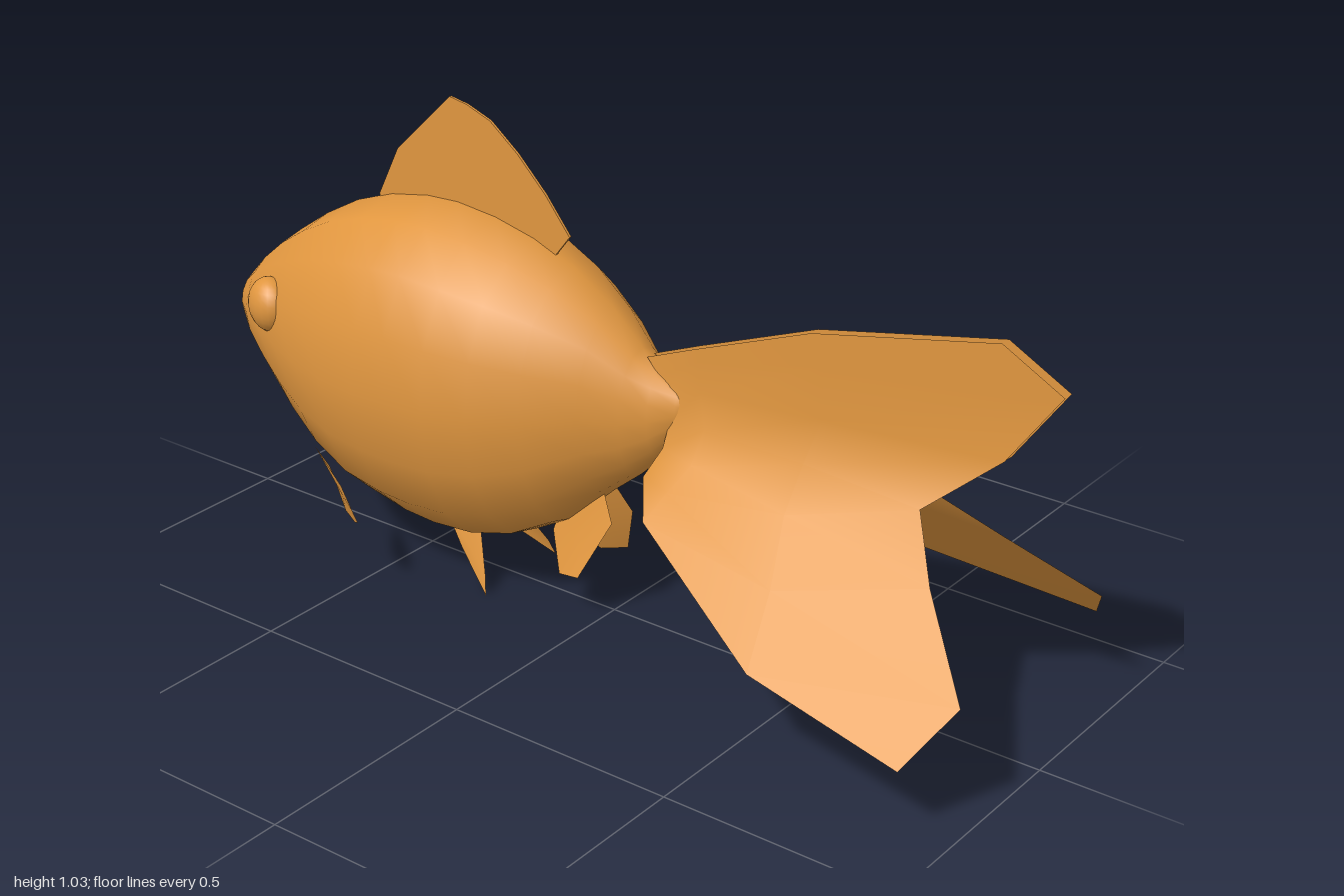
import * as THREE from 'three';

const orange = new THREE.MeshStandardMaterial({ color: 0xe0963f, side: THREE.DoubleSide });
orange.name = 'goldenOrange';

function mesh(name, geometry) {
  const m = new THREE.Mesh(geometry, orange);
  m.name = name;
  return m;
}

// Skin a grid of points: rows of equal length, optionally closed around each row.
function loft(rows, closed = false) {
  const n = rows[0].length, index = [];
  for (let r = 0; r < rows.length - 1; r++) {
    for (let i = 0; i < (closed ? n : n - 1); i++) {
      const a = r * n + i, b = r * n + (i + 1) % n;
      index.push(a, a + n, b, b, a + n, b + n);
    }
  }
  const g = new THREE.BufferGeometry();
  g.setAttribute('position', new THREE.Float32BufferAttribute(rows.flat(2), 3));
  g.setIndex(index);
  g.computeVertexNormals();
  return g;
}

// Thin sheet: fan of triangles around the centre of an outline.
function sheet(points) {
  const n = points.length;
  const mid = [0, 1, 2].map(k => points.reduce((s, p) => s + p[k], 0) / n);
  const index = points.flatMap((_, i) => [n, i, (i + 1) % n]);
  const g = new THREE.BufferGeometry();
  g.setAttribute('position', new THREE.Float32BufferAttribute([...points, mid].flat(), 3));
  g.setIndex(index);
  g.computeVertexNormals();
  return g;
}

const mirror = (points, side) => points.map(([x, y, z]) => [x * side, y, z]);

// Body stations from nose to tail: z, top, bottom, half width
const stations = [
  [-1, 0.465, 0.455, 0.005], [-0.997, 0.495, 0.43, 0.035], [-0.975, 0.53, 0.405, 0.07],
  [-0.92, 0.585, 0.355, 0.112], [-0.85, 0.645, 0.29, 0.15], [-0.77, 0.7, 0.225, 0.188],
  [-0.68, 0.75, 0.165, 0.223], [-0.58, 0.787, 0.118, 0.247], [-0.48, 0.806, 0.098, 0.256],
  [-0.4, 0.81, 0.093, 0.257], [-0.3, 0.8, 0.1, 0.25], [-0.2, 0.777, 0.127, 0.226],
  [-0.1, 0.737, 0.183, 0.185], [0, 0.675, 0.277, 0.126], [0.07, 0.61, 0.335, 0.082],
  [0.12, 0.578, 0.385, 0.055], [0.17, 0.553, 0.45, 0.03], [0.19, 0.535, 0.5, 0.015],
  [0.2, 0.521, 0.519, 0.001],
];

function bodyRing([z, top, bottom, w]) {
  const c = (top + bottom) / 2, h = (top - bottom) / 2;
  return Array.from({ length: 16 }, (_, i) => {
    const a = i * Math.PI / 8, s = Math.sin(a);
    return [w * Math.sign(s) * Math.abs(s) ** 0.93, c + h * Math.cos(a), z];
  });
}

// Twin tail rows from root to margin; each runs from the upright upper lobe to the splayed lower lobe
const tailRows = [
  [[0.012, 0.6, 0.09], [0.015, 0.57, 0.12], [0.02, 0.54, 0.14], [0.03, 0.49, 0.16],
    [0.04, 0.43, 0.15], [0.045, 0.395, 0.13], [0.05, 0.36, 0.11]],
  [[0.012, 0.645, 0.2], [0.012, 0.62, 0.21], [0.014, 0.56, 0.22], [0.028, 0.49, 0.24],
    [0.07, 0.43, 0.24], [0.12, 0.385, 0.22], [0.17, 0.335, 0.2]],
  [[0.012, 0.75, 0.47], [0.012, 0.69, 0.5], [0.012, 0.58, 0.5], [0.025, 0.485, 0.47],
    [0.1, 0.41, 0.48], [0.2, 0.305, 0.52], [0.315, 0.19, 0.55]],
  [[0.012, 0.835, 0.87], [0.012, 0.765, 1], [0.012, 0.61, 0.89], [0.035, 0.475, 0.735],
    [0.13, 0.38, 0.82], [0.26, 0.245, 0.97], [0.365, 0.145, 0.91]],
];

// Folded-under lower edge of the tail
const tailFold = [[0.05, 0.36, 0.11], [0.17, 0.335, 0.2], [0.315, 0.19, 0.55],
  [0.17, 0.305, 0.37], [0.1, 0.325, 0.2], [0.02, 0.34, 0.09]];

const pairedFins = {
  pectoralFin: [[0.2, 0.262, -0.645], [0.245, 0.22, -0.53], [0.278, 0.19, -0.467],
    [0.278, 0.172, -0.455], [0.25, 0.15, -0.49], [0.22, 0.15, -0.545], [0.18, 0.215, -0.625]],
  pelvicFin: [[0.055, 0.13, -0.41], [0.075, 0.065, -0.35], [0.117, 0, -0.25],
    [0.105, 0.035, -0.26], [0.06, 0.13, -0.31]],
  analFin: [[0.015, 0.29, -0.02], [0.035, 0.22, 0.02], [0.085, 0.1, -0.03],
    [0.07, 0.085, -0.09], [0.02, 0.15, -0.145], [0.012, 0.2, -0.13]],
  tailFold,
};

export function createModel() {
  const fish = new THREE.Group();
  fish.name = 'fish';

  fish.add(mesh('body', loft(stations.map(bodyRing), true)));

  // Dorsal fin, outlined in (z, y) and turned into the middle plane
  const outline = [[-0.14, 0.72], [-0.145, 0.755], [-0.11, 0.8], [-0.17, 0.875], [-0.24, 0.945],
    [-0.31, 1], [-0.37, 1.022], [-0.415, 1.03], [-0.56, 0.89], [-0.615, 0.78], [-0.6, 0.72]];
  const dorsalShape = new THREE.Shape(outline.map(([z, y]) => new THREE.Vector2(-z, y)));
  const dorsal = new THREE.ExtrudeGeometry(dorsalShape, { depth: 0.006, bevelEnabled: false });
  dorsal.translate(0, 0, -0.003).rotateY(Math.PI / 2);
  fish.add(mesh('dorsalFin', dorsal));

  // Small lips at the nose
  const lips = mesh('lips', new THREE.TorusGeometry(0.022, 0.009, 8, 16));
  lips.scale.set(1.2, 0.6, 1);
  lips.position.set(0, 0.452, -0.988);
  fish.add(lips);

  for (const [side, label] of [[1, 'left'], [-1, 'right']]) {
    fish.add(mesh(label + 'TailFin', loft(tailRows.map(row => mirror(row, side)))));
    for (const [name, points] of Object.entries(pairedFins)) {
      fish.add(mesh(label + name[0].toUpperCase() + name.slice(1), sheet(mirror(points, side))));
    }
    const eye = mesh(label + 'Eye', new THREE.SphereGeometry(0.06, 20, 14));
    eye.scale.x = 0.75;
    eye.position.set(side * 0.15, 0.53, -0.805);
    eye.rotation.y = side * 0.4;
    fish.add(eye);
  }
  return fish;
}
